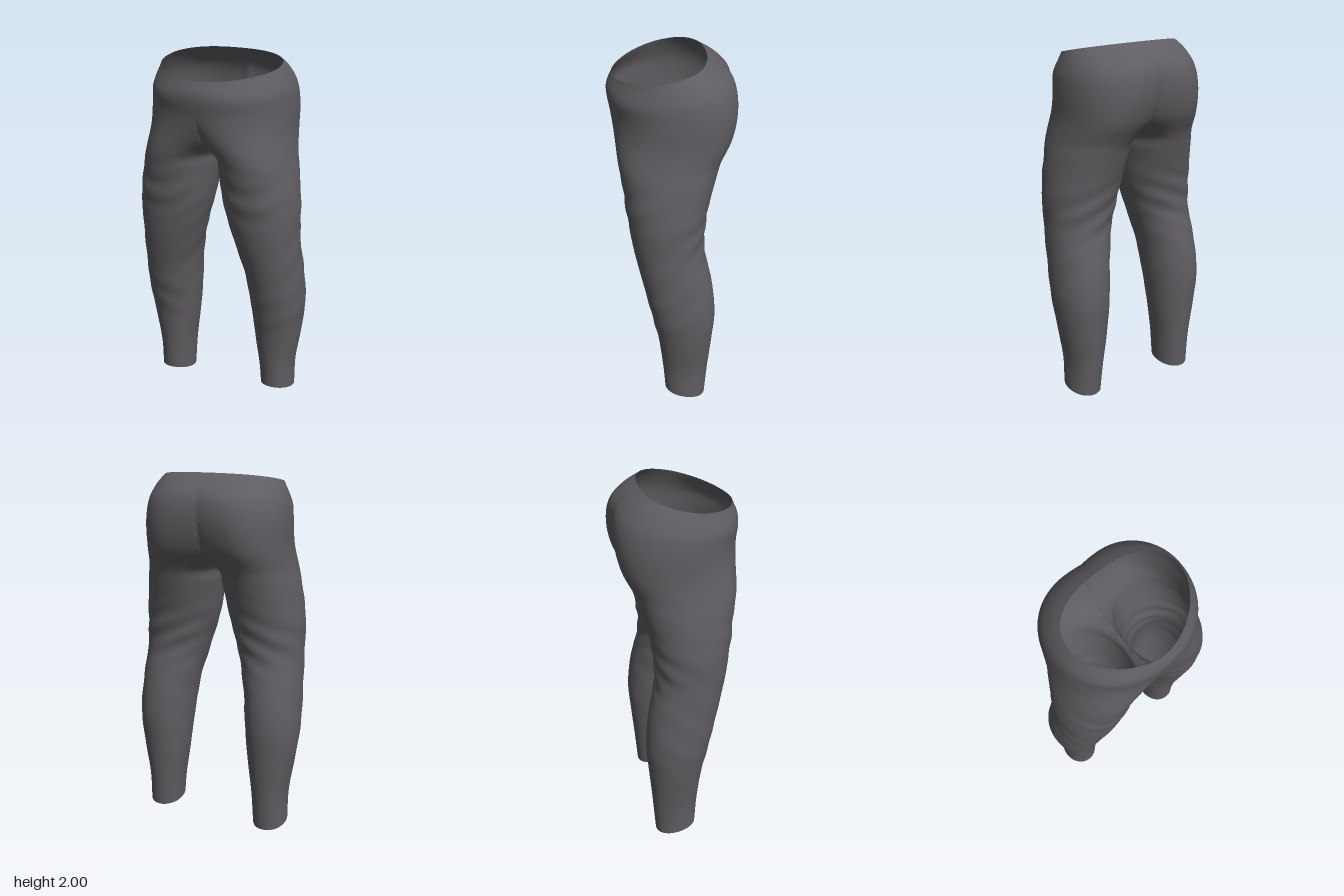
import * as THREE from 'three';
import { mergeVertices } from 'three/addons/utils/BufferGeometryUtils.js';

// Outline of one half, hem to waist; a negative inner reach meets the centre seam.
// [height, xOuter, xInner, zFront, zBack]
const OUTLINE = [
  [0.033, 0.425, 0.235, 0.058, -0.17],
  [0.2, 0.43, 0.225, 0.07, -0.185],
  [0.4, 0.462, 0.2, 0.092, -0.205],
  [0.6, 0.485, 0.18, 0.135, -0.22],
  [0.8, 0.48, 0.157, 0.18, -0.2],
  [1.0, 0.47, 0.106, 0.225, -0.16],
  [1.2, 0.468, 0.05, 0.255, -0.175],
  [1.4, 0.44, 0.018, 0.28, -0.225],
  [1.48, 0.423, 0.002, 0.293, -0.25],
  [1.6, 0.407, -0.17, 0.305, -0.31],
  [1.73, 0.405, -0.27, 0.322, -0.34],
  [1.83, 0.395, -0.32, 0.335, -0.325],
  [1.9, 0.37, -0.35, 0.335, -0.265],
  [1.96, 0.34, -0.35, 0.31, -0.188],
];
const ROWS = 150;
const COLS = 112;
const { smoothstep, clamp } = THREE.MathUtils;

// Smooth interpolation of the outline at height h
function outlineAt(h) {
  const last = OUTLINE.length - 1;
  let i = 0;
  while (i < last - 1 && h > OUTLINE[i + 1][0]) i++;
  const a = OUTLINE[i], b = OUTLINE[i + 1];
  const p = OUTLINE[Math.max(i - 1, 0)], q = OUTLINE[Math.min(i + 2, last)];
  const d = b[0] - a[0], t = (h - a[0]) / d, t2 = t * t, t3 = t2 * t;
  return a.map((v, k) => {
    const m0 = (b[k] - p[k]) / (b[0] - p[0]) * d;
    const m1 = (q[k] - v) / (q[0] - a[0]) * d;
    return (2 * t3 - 3 * t2 + 1) * v + (t3 - 2 * t2 + t) * m0 + (3 * t2 - 2 * t3) * b[k] + (t3 - t2) * m1;
  });
}

const bump = (v, centre, width) => Math.exp(-(((v - centre) / width) ** 2));

// Soft cloth folds: scallops on the thigh, creases behind the knee and at the shin
function fold(h, c, s) {
  const front = Math.max(s, 0), back = Math.max(-s, 0);
  return 0.016 * front * bump(h, 1.25, 0.13) * Math.sin(42 * (h - 0.12 * c * c) + c)
    + 0.020 * back * bump(h, 1.08, 0.16) * Math.sin(50 * (h + 0.10 * c))
    + 0.012 * front * bump(h, 0.55, 0.16) * Math.sin(40 * (h - 0.08 * c))
    + 0.010 * Math.abs(c) * bump(h, 0.85, 0.4) * Math.sin(34 * h + 5 * s);
}

function pointOn([h, xOuter, xInner, zFront, zBack], angle, side) {
  const c = Math.cos(angle), s = Math.sin(angle), isFront = s >= 0;
  // Crown of each arc: mid-leg below, drifting to the centre seam at the waist
  const rise = clamp((h - 1.48) / 0.48, 0, 1);
  const crown = (xOuter + Math.max(xInner, 0)) / 2 * (1 - rise * rise);
  const cx = isFront ? crown * (1 - smoothstep(h, 1.45, 1.8)) : crown;
  const zMid = (zFront + zBack) / 2 - 0.03 * smoothstep(h, 1.2, 1.8);
  // Waist opening is pointed in front and squarer behind
  const power = 2.1 + (isFront ? -0.35 : 0.3) * smoothstep(h, 1.83, 1.96);
  const swell = 1 + fold(h, c, s);
  const pc = Math.sign(c) * Math.abs(c) ** (2 / power) * swell;
  const ps = Math.abs(s) ** (2 / power) * swell;
  const x = Math.max(0, cx + (c >= 0 ? xOuter - cx : cx - xInner) * pc);
  const z = zMid + ((isFront ? zFront : zBack) - zMid) * ps;
  // Hem rises to the front, waist rises to the back, left hem sits higher
  const hem = 1 - smoothstep(h, 0.03, 0.35);
  const tilt = 0.2 * hem - 0.2 * smoothstep(h, 1.6, 1.96);
  const left = side > 0 ? hem : 0;
  return [side * (x + 0.006 * left), h + tilt * z + 0.03 * left, z];
}

// Both mirrored halves in one skin, joined along the centre seam
function buildTrousers() {
  const positions = [], index = [];
  const low = OUTLINE[0][0], high = OUTLINE[OUTLINE.length - 1][0];
  for (const side of [1, -1]) {
    const base = positions.length / 3;
    for (let r = 0; r <= ROWS; r++) {
      const section = outlineAt(low + (high - low) * r / ROWS);
      for (let j = 0; j < COLS; j++) positions.push(...pointOn(section, j / COLS * Math.PI * 2, side));
    }
    // Faces lying wholly on the centre plane are inside the body and left out
    const addFace = (a, b, c) => {
      if ([a, b, c].every((v) => Math.abs(positions[v * 3]) < 1e-5)) return;
      if (side > 0) index.push(a, b, c);
      else index.push(a, c, b);
    };
    for (let r = 0; r < ROWS; r++) {
      for (let j = 0; j < COLS; j++) {
        const a = base + r * COLS + j, b = base + r * COLS + (j + 1) % COLS;
        addFace(a, a + COLS, b);
        addFace(b, a + COLS, b + COLS);
      }
    }
  }
  const geometry = new THREE.BufferGeometry();
  geometry.setAttribute('position', new THREE.Float32BufferAttribute(positions, 3));
  geometry.setIndex(index);
  const joined = mergeVertices(geometry, 1e-5);
  joined.computeVertexNormals();
  return joined;
}

export function createModel() {
  const group = new THREE.Group();
  group.name = 'trousers';
  const cloth = new THREE.MeshStandardMaterial({ color: 0x5f5d61, side: THREE.DoubleSide });
  const skin = new THREE.Mesh(buildTrousers(), cloth);
  skin.name = 'trouserCloth';
  group.add(skin);
  return group;
}
